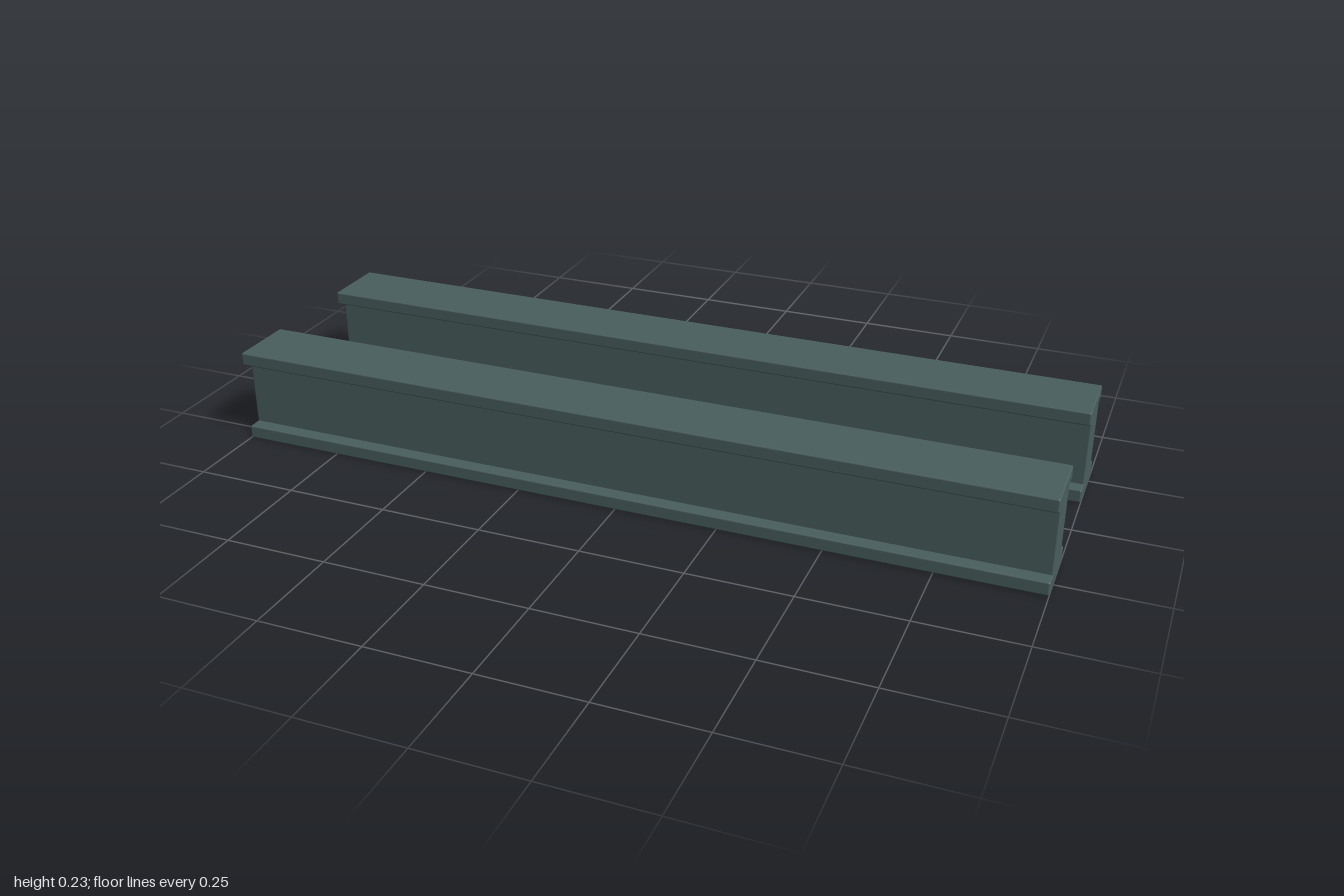
import * as THREE from 'three';
import { RoundedBoxGeometry } from 'three/addons/geometries/RoundedBoxGeometry.js';

export function createModel() {
  const steel = new THREE.MeshStandardMaterial({ color: 0x4a5e5e });
  steel.name = 'dark slate steel';

  const length = 2, height = 0.233, flangeHeight = 0.033;
  const flangeWidth = 0.167, webWidth = 0.1, edge = 0.004;

  // A full-length bar with slightly softened edges
  const bar = (name, h, width, y) => {
    const mesh = new THREE.Mesh(new RoundedBoxGeometry(length, h, width, 2, edge), steel);
    mesh.name = name;
    mesh.position.y = y;
    return mesh;
  };

  // One I-beam: two flanges joined by a thick web
  const beam = (name, z) => {
    const group = new THREE.Group();
    group.name = name;
    group.position.z = z;
    group.add(
      bar('bottomFlange', flangeHeight, flangeWidth, flangeHeight / 2),
      bar('web', height - 2 * flangeHeight + 2 * edge, webWidth, height / 2),
      bar('topFlange', flangeHeight, flangeWidth, height - flangeHeight / 2),
    );
    return group;
  };

  const model = new THREE.Group();
  model.name = 'pairOfBeams';
  model.add(beam('frontBeam', 0.217), beam('backBeam', -0.217));
  return model;
}
